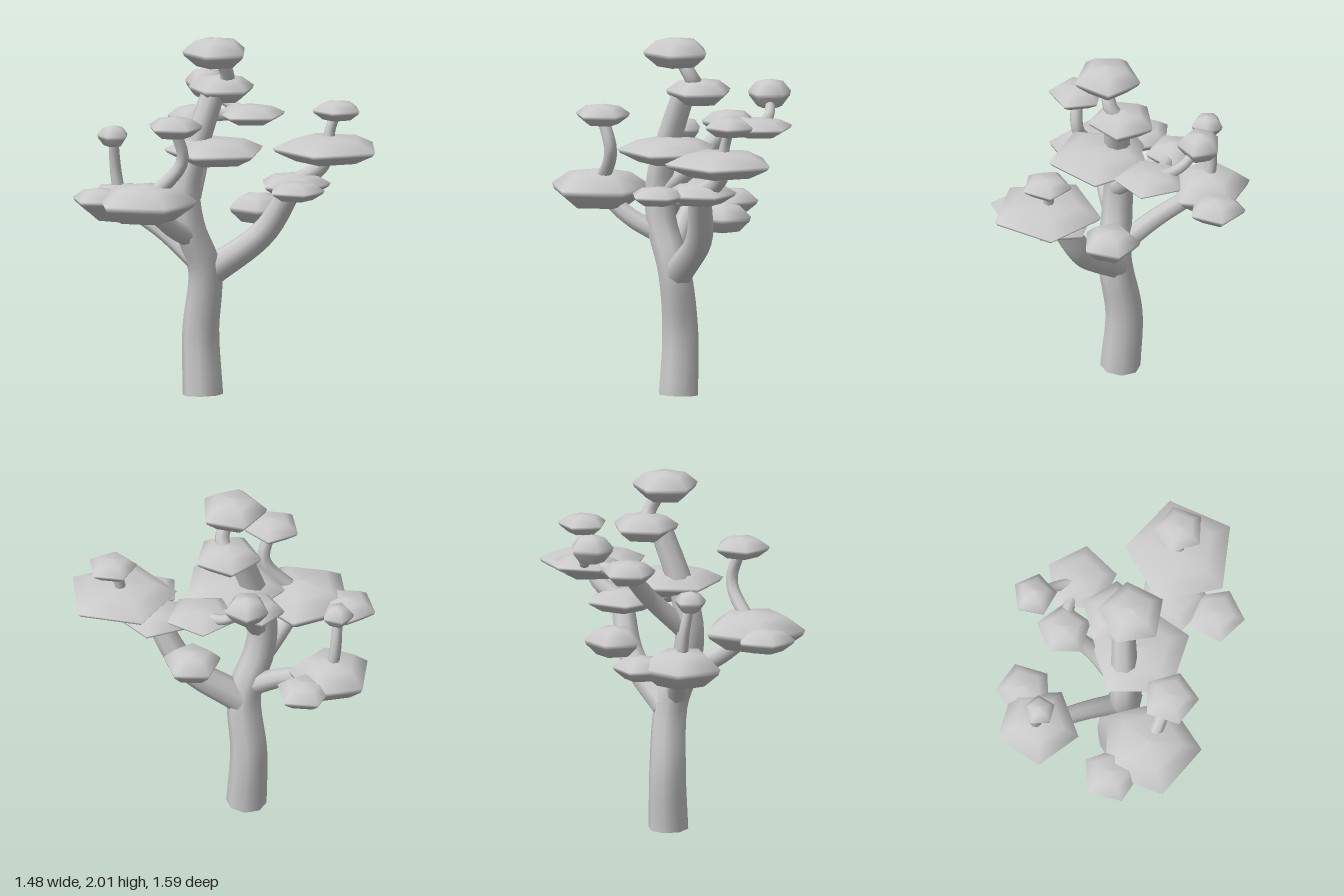
import * as THREE from 'three';

const SIDES = 8;
const material = new THREE.MeshStandardMaterial({ color: 0xcccccc });
const capMaterial = new THREE.MeshStandardMaterial({ color: 0xcccccc, side: THREE.DoubleSide });
const at = (x, y, z) => new THREE.Vector3(x, y, z);

// Tube along a smooth path, tapering towards its tip, with its lower end closed
function limb(name, points, radius, taper = 0.75) {
  const curve = new THREE.CatmullRomCurve3(points);
  const steps = points.length * 4;
  const geo = new THREE.TubeGeometry(curve, steps, radius, SIDES, false);
  const pos = geo.attributes.position;
  const corner = i => new THREE.Vector3().fromBufferAttribute(pos, i);
  for (let i = 0; i < pos.count; i++) {
    const t = Math.floor(i / (SIDES + 1)) / steps;
    const v = corner(i).lerp(curve.getPointAt(t), t * (1 - taper));
    pos.setXYZ(i, v.x, v.y, v.z);
  }
  const bark = new THREE.Mesh(geo, material);
  bark.name = name + 'Bark';

  const fan = [];
  for (let j = 0; j < SIDES; j++) fan.push(points[0], corner(j + 1), corner(j));
  const capGeo = new THREE.BufferGeometry().setFromPoints(fan);
  capGeo.computeVertexNormals();
  const cap = new THREE.Mesh(capGeo, capMaterial);
  cap.name = name + 'End';

  const group = new THREE.Group();
  group.name = name;
  return group.add(bark, cap);
}

// Flattened five-sided foliage pad; angle aims one corner, measured from +x towards +z
const PROFILE = [[0, -1], [0.58, -0.88], [0.94, -0.2], [1, 0.1], [0.62, 0.8], [0, 1]];
function pad(name, center, radius, half, angle) {
  const profile = PROFILE.map(([r, h]) => new THREE.Vector2(r * radius, h * half));
  const start = THREE.MathUtils.degToRad(90 - angle);
  const mesh = new THREE.Mesh(new THREE.LatheGeometry(profile, 5, start), material);
  mesh.name = name;
  mesh.position.copy(center);
  return mesh;
}

export function createModel() {
  const tree = new THREE.Group();
  tree.name = 'tree';
  const foliage = (...args) => {
    const mesh = pad(...args);
    tree.add(mesh);
    return mesh.position;
  };
  const branch = (name, from, middle, to, radius) => tree.add(limb(name, [from, middle, to], radius));

  // Trunk with its three pads
  tree.add(limb('trunk', [at(-0.01, 0, 0.035), at(-0.03, 0.35, 0.035), at(0.02, 0.7, 0.045),
    at(0, 0.95, 0.135), at(-0.01, 1.15, 0.155), at(0, 1.35, 0.11), at(0.02, 1.7, -0.02)], 0.112, 0.58));
  foliage('middleTrunkFoliage', at(0.1, 1.372, 0.03), 0.29, 0.073, -7);
  const crown = foliage('upperTrunkFoliage', at(-0.01, 1.695, -0.1), 0.19, 0.075, -75);
  const top = foliage('topFoliage', at(0.065, 1.915, 0), 0.19, 0.085, -87);
  branch('topStem', crown, at(0.055, 1.78, -0.085), top, 0.045);

  // Back branch
  const backLower = foliage('backLowerFoliage', at(0.36, 1.187, -0.31), 0.205, 0.062, 90);
  const backLarge = foliage('backLargeFoliage', at(0.44, 1.375, -0.49), 0.31, 0.075, -90);
  const backTop = foliage('backTopFoliage', at(0.445, 1.585, -0.55), 0.14, 0.055, -94);
  foliage('backOuterFoliage', at(0.57, 1.19, -0.16), 0.16, 0.052, 93);
  foliage('backInnerFoliage', at(0.07, 1.02, -0.29), 0.165, 0.085, -30);
  branch('backBranch', at(0.02, 0.68, 0.02), at(0.21, 0.91, -0.22), backLower, 0.085);
  branch('backUpperBranch', backLower, at(0.41, 1.28, -0.46), backLarge, 0.055);
  branch('backTopStem', backLarge, at(0.43, 1.48, -0.51), backTop, 0.034);

  // Side branch
  const sideLarge = foliage('sideLargeFoliage', at(-0.51, 1.025, 0.22), 0.235, 0.105, 100);
  const sideTop = foliage('sideTopFoliage', at(-0.51, 1.4, 0.27), 0.09, 0.06, -82);
  foliage('sideBackFoliage', at(-0.54, 1.02, 0), 0.16, 0.068, -97);
  branch('sideBranch', at(0, 0.75, 0.08), at(-0.23, 0.9, 0.14), sideLarge, 0.06);
  branch('sideTopStem', sideLarge, at(-0.53, 1.22, 0.24), sideTop, 0.036);

  // Front branch
  const frontLarge = foliage('frontLargeFoliage', at(0.06, 1.125, 0.5), 0.29, 0.108, 87);
  const frontTop = foliage('frontTopFoliage', at(0.2, 1.557, 0.4), 0.158, 0.06, 85);
  foliage('frontOuterFoliage', at(-0.18, 1.125, 0.62), 0.165, 0.065, 80);
  branch('frontBranch', at(0, 0.88, 0.11), at(0.04, 0.97, 0.3), frontLarge, 0.06);
  branch('frontTopStem', frontLarge, at(0.2, 1.36, 0.345), frontTop, 0.042);

  // Upper branch
  const upperSide = foliage('upperSideFoliage', at(-0.29, 1.495, -0.13), 0.155, 0.068, 65);
  const upperBack = foliage('upperBackFoliage', at(-0.14, 1.5, -0.4), 0.2, 0.052, -70);
  const upperTop = foliage('upperTopFoliage', at(-0.42, 1.65, -0.31), 0.125, 0.082, -67);
  branch('upperBranch', at(0, 1.12, 0.13), at(-0.14, 1.32, -0.04), upperSide, 0.06);
  branch('upperBackBranch', upperSide, at(-0.24, 1.5, -0.26), upperBack, 0.04);
  branch('upperTopStem', upperBack, at(-0.31, 1.55, -0.37), upperTop, 0.034);

  return tree;
}
